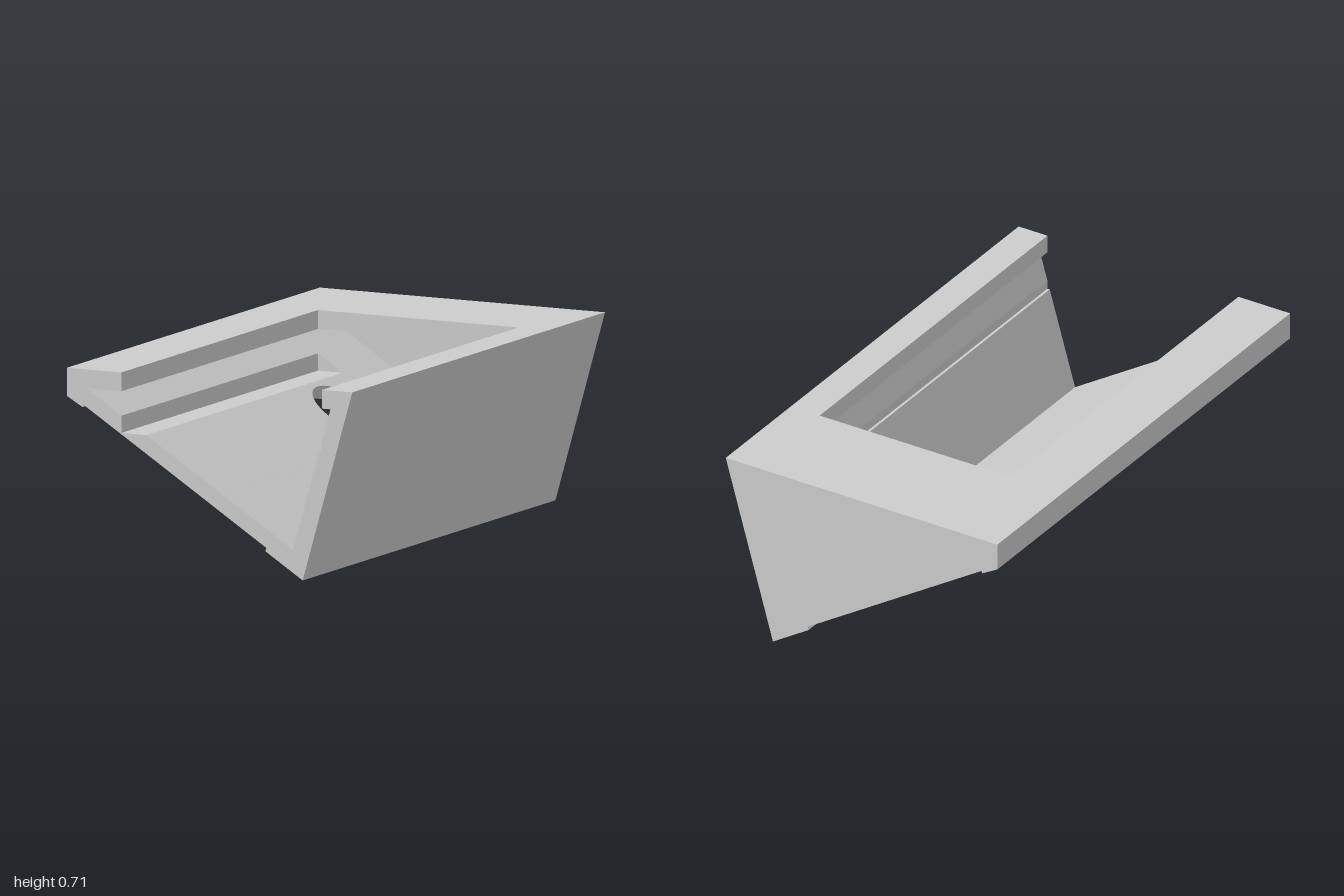
import * as THREE from 'three';
import { toCreasedNormals } from 'three/addons/utils/BufferGeometryUtils.js';

const material = new THREE.MeshStandardMaterial({ color: 0xcccccc });
const shapeOf = (pts) => new THREE.Shape(pts.map(([x, y]) => new THREE.Vector2(x, y)));

// Extrudes a cross-section between two depths
function slab(name, shape, z0, z1) {
  const geo = new THREE.ExtrudeGeometry(shape, { depth: z1 - z0, bevelEnabled: false });
  geo.translate(0, 0, z0);
  const mesh = new THREE.Mesh(geo, material);
  mesh.name = name;
  return mesh;
}

export function createModel() {
  const group = new THREE.Group();
  group.name = 'wedgeHousing';

  const zWall = -0.875, zSlot = -0.555; // cavity back wall, slot end
  const thick = 0.059;
  const along = new THREE.Vector3(0.8477, -0.5305, 0).normalize(); // down the sloping floor
  const normal = new THREE.Vector3(-along.y, along.x, 0);
  const floorY = (x) => 0.326 - 0.626 * x;

  // Outer wedge with a shallow recess under the sloping floor
  const outer = [
    [-0.59, 0.715], [-0.59, 0.61], [-0.525, 0.573], [-0.52, 0.5815],
    [0.235, 0.109], [0.23, 0.097], [0.385, 0], [0.59, 0.715],
  ];
  group.add(slab('backWall', shapeOf(outer), -1, zWall));

  // Closed tube part behind the slot
  const tube = shapeOf(outer);
  tube.holes.push(shapeOf([[-0.51, 0.645], [0.5, 0.645], [0.345, 0.11]]));
  group.add(slab('coveredCavity', tube, zWall, zSlot));

  // Ends of the floor plate: upper and lower corners
  const [xa, xb] = [-0.255, 0.05];
  const corner = (x, t) => [x - normal.x * t, floorY(x) - normal.y * t];

  // Side rails beside the open slot
  group.add(slab('rightRail', shapeOf([
    ...outer.slice(0, 4), corner(xa, thick), corner(xa, 0),
    [-0.262, 0.49], [-0.365, 0.49], [-0.365, 0.554],
    [-0.51, 0.645], [-0.365, 0.645], [-0.365, 0.715],
  ]), zSlot, 1));
  group.add(slab('leftRail', shapeOf([
    corner(xb, 0), corner(xb, thick), ...outer.slice(4),
    [0.465, 0.715], [0.465, 0.645], [0.5, 0.645], [0.465, 0.524],
    [0.465, 0.49], [0.455, 0.49], [0.345, 0.11],
  ]), zSlot, 1));

  // Sloping floor plate with a round hole square to its surface
  const length = (xb - xa) / along.x;
  const plate = shapeOf([[0, -1], [length, -1], [length, -zSlot], [0, -zSlot]]);
  const hole = new THREE.Path();
  hole.absarc((-0.115 - xa) / along.x, 0.315, 0.148, 0, Math.PI * 2, true);
  plate.holes.push(hole);
  const geo = new THREE.ExtrudeGeometry(plate, { depth: thick, bevelEnabled: false, curveSegments: 48 });
  geo.applyMatrix4(new THREE.Matrix4()
    .makeBasis(along, new THREE.Vector3(0, 0, -1), normal)
    .setPosition(...corner(xa, thick), 0));
  const floor = new THREE.Mesh(toCreasedNormals(geo, 0.6), material);
  floor.name = 'floorPlate';
  group.add(floor);

  return group;
}
